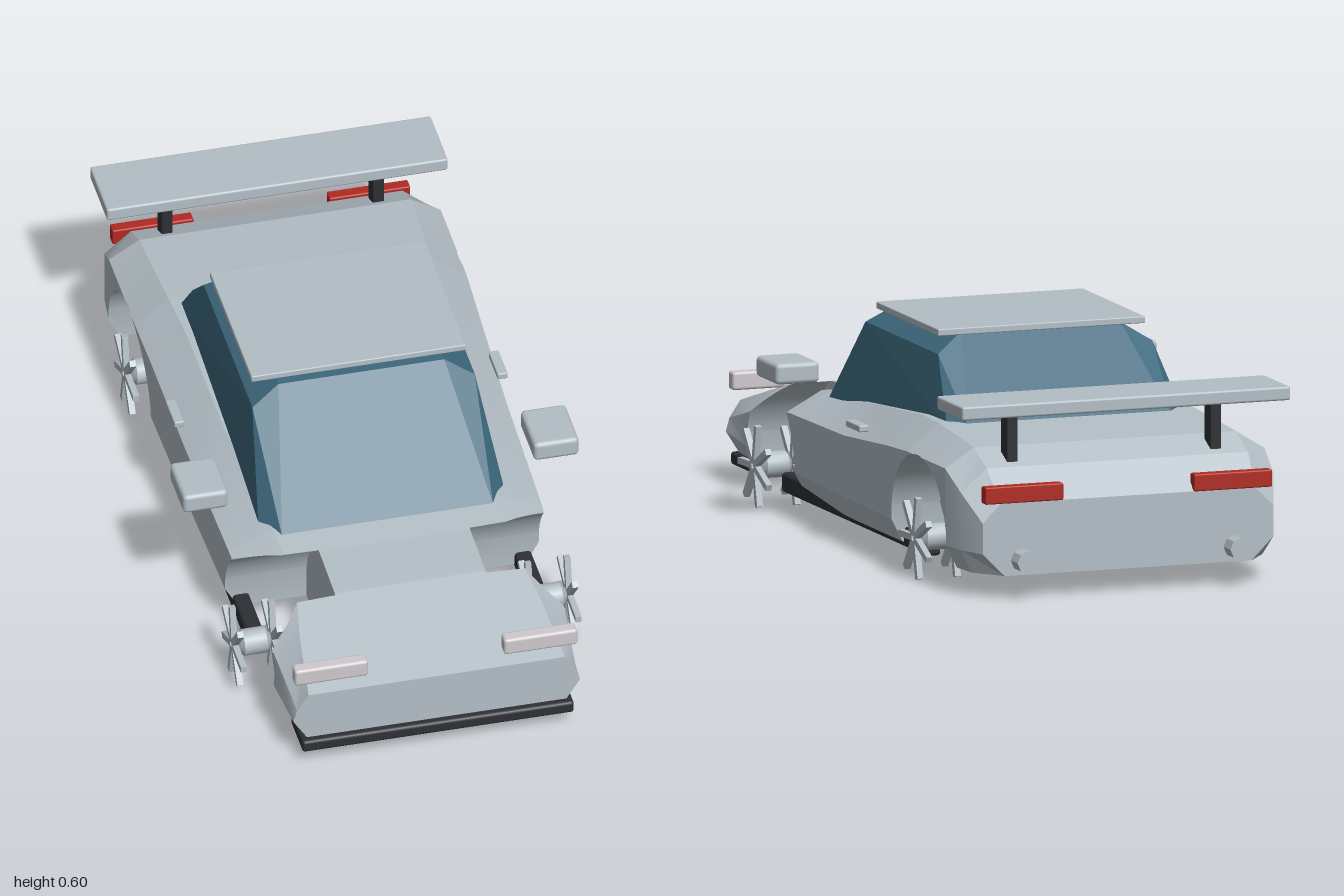
import * as THREE from 'three';
import { toCreasedNormals } from 'three/addons/utils/BufferGeometryUtils.js';
import { RoundedBoxGeometry } from 'three/addons/geometries/RoundedBoxGeometry.js';
import { ConvexGeometry } from 'three/addons/geometries/ConvexGeometry.js';

const paint = (name, color) => Object.assign(new THREE.MeshStandardMaterial({ color }), { name });

const FLOOR = 0.06;
const AXLE_Y = 0.107, AXLES = [0.595, -0.575], ARCH_R = 0.215, ARCH_X = 0.2;

// Body stations: z, floor half width, lower side (x, y), upper side (x, y), top edge (x, y)
const STATIONS = [
  [0.98, 0.335, 0.38, 0.13, 0.37, 0.165, 0.34, 0.21],
  [0.80, 0.35, 0.39, 0.12, 0.385, 0.21, 0.32, 0.265],
  [0.69, 0.37, 0.40, 0.12, 0.40, 0.24, 0.30, 0.298],
  [0.52, 0.38, 0.41, 0.12, 0.41, 0.26, 0.29, 0.307],
  [0.42, 0.38, 0.415, 0.12, 0.415, 0.27, 0.30, 0.32],
  [0.00, 0.40, 0.425, 0.12, 0.425, 0.28, 0.33, 0.355],
  [-0.35, 0.40, 0.43, 0.12, 0.435, 0.31, 0.34, 0.385],
  [-0.50, 0.40, 0.435, 0.12, 0.44, 0.32, 0.35, 0.388],
  [-0.78, 0.41, 0.44, 0.12, 0.44, 0.32, 0.36, 0.37],
  [-0.87, 0.40, 0.43, 0.12, 0.43, 0.27, 0.36, 0.33],
  [-0.95, 0.34, 0.40, 0.12, 0.40, 0.20, 0.35, 0.25],
];

function stationAt(z) {
  let i = 0;
  while (i < STATIONS.length - 2 && z < STATIONS[i + 1][0]) i++;
  const a = STATIONS[i], b = STATIONS[i + 1];
  const t = (a[0] - z) / (a[0] - b[0]);
  return a.map((v, k) => v + (b[k] - v) * t);
}

// Height of the wheel-arch ceiling at z, or the floor away from the wheels
function archAt(z) {
  for (const c of AXLES) {
    const d = Math.abs(z - c);
    if (d < ARCH_R * 0.98) return AXLE_Y + Math.sqrt(ARCH_R ** 2 - d * d);
  }
  return FLOOR;
}

// Closed outline at z, counterclockwise from the front, with the arch cut away
function sectionAt(z) {
  const [, wb, w1, y1, w2, y2, wt, yt] = stationAt(z);
  const side = [[wb, FLOOR], [w1, y1], [w2, y2], [wt, yt]];
  const arch = archAt(z), lo = Math.min(arch, yt);
  const sideX = (y) => {
    for (let k = 0; k < 3; k++) {
      const [p, q] = [side[k], side[k + 1]];
      if (y <= q[1]) return p[0] + (q[0] - p[0]) * (y - p[1]) / (q[1] - p[1]);
    }
    return wt;
  };
  const cut = side.map(([, y]) => {
    const h = Math.max(y, lo);
    return arch >= yt ? [ARCH_X, yt] : [sideX(h), h];
  });
  const half = [[0, FLOOR], [ARCH_X, FLOOR], [ARCH_X, lo], ...cut, [ARCH_X, yt], [0, yt]];
  const other = half.slice(1, -1).reverse().map(([x, y]) => [-x, y]);
  return [...half, ...other].map(([x, y]) => [x, y, z]);
}

function bodyGeometry() {
  const zs = STATIONS.map((s) => s[0]);
  for (const c of AXLES) {
    const edge = ARCH_R * 0.98;
    zs.push(c - edge - 0.0005, c + edge + 0.0005);
    for (let i = 0; i <= 44; i++) zs.push(c + (edge - 0.0005) * Math.cos(Math.PI * i / 44));
    for (let i = 1; i < 48; i++) zs.push(c - 0.11 + 0.22 * i / 48);
  }
  zs.sort((a, b) => b - a);
  const rings = zs.map(sectionAt), pos = [], n = rings[0].length;
  const tri = (...pts) => pts.forEach((p) => pos.push(...p));
  for (let i = 0; i < rings.length - 1; i++) {
    for (let j = 0; j < n; j++) {
      const k = (j + 1) % n, A = rings[i], B = rings[i + 1];
      tri(A[j], B[j], A[k]);
      tri(A[k], B[j], B[k]);
    }
  }
  const front = rings[0], back = rings[rings.length - 1];
  for (let j = 0; j < n; j++) {
    const k = (j + 1) % n;
    tri([0, 0.14, 0.98], front[j], front[k]);
    tri([0, 0.14, -0.95], back[k], back[j]);
  }
  const g = new THREE.BufferGeometry();
  g.setAttribute('position', new THREE.Float32BufferAttribute(pos, 3));
  return toCreasedNormals(g, 0.35);
}

export function createModel() {
  const car = new THREE.Group();
  car.name = 'sportsCar';
  const silver = paint('silverPaint', 0xb3bec5);
  const glass = paint('tealGlass', 0x3c677b);
  const black = paint('blackTrim', 0x2d3035);
  const lamp = paint('headlightWhite', 0xcfc9ce);
  const red = paint('tailRed', 0xb02a22);

  const add = (name, geometry, material, parent = car) => {
    const m = new THREE.Mesh(geometry, material);
    m.name = name;
    parent.add(m);
    return m;
  };
  // Rounded box given by its extents
  const box = (name, mat, [x0, x1], [y0, y1], [z0, z1], r = 0.006) => {
    const g = new RoundedBoxGeometry(x1 - x0, y1 - y0, z1 - z0, 2, r);
    add(name, g, mat).position.set((x0 + x1) / 2, (y0 + y1) / 2, (z0 + z1) / 2);
  };
  const pair = (name, mat, [x0, x1], ys, zs, r) => {
    box(name + 'Left', mat, [x0, x1], ys, zs, r);
    box(name + 'Right', mat, [-x1, -x0], ys, zs, r);
  };

  add('body', bodyGeometry(), silver);

  // Glass cabin and roof
  const cabin = [
    [0.28, 0.315, 0.445], [0.325, 0.315, 0.37], [0.325, 0.37, -0.49], [0.28, 0.375, -0.535],
    [0.22, 0.584, 0.16], [0.295, 0.54, 0.185], [0.295, 0.54, -0.345], [0.22, 0.588, -0.31],
  ].flatMap(([x, y, z]) => [new THREE.Vector3(x, y, z), new THREE.Vector3(-x, y, z)]);
  add('cabinGlass', new ConvexGeometry(cabin), glass);
  box('roofPanel', silver, [-0.285, 0.285], [0.582, 0.6], [-0.32, 0.135], 0.003);

  // Fittings
  pair('mirror', silver, [0.405, 0.525], [0.38, 0.435], [0.225, 0.38], 0.012);
  pair('headlight', lamp, [0.18, 0.375], [0.242, 0.29], [0.94, 0.978], 0.008);
  pair('tailLight', red, [0.18, 0.395], [0.25, 0.295], [-0.957, -0.925], 0.004);
  pair('doorHandle', silver, [0.415, 0.442], [0.314, 0.332], [-0.16, -0.06], 0.004);
  pair('sideSkirt', black, [0.352, 0.396], [0.045, 0.097], [-0.52, 0.535], 0.01);
  box('frontSplitter', black, [-0.36, 0.36], [0.04, 0.074], [0.87, 1.0], 0.008);

  // Rear wing
  box('wing', silver, [-0.452, 0.452], [0.47, 0.506], [-0.94, -0.75], 0.006);
  pair('wingPost', black, [0.265, 0.295], [0.31, 0.475], [-0.85, -0.8], 0.004);

  for (const s of [1, -1]) {
    const pipe = add('exhaust', toCreasedNormals(new THREE.CylinderGeometry(0.03, 0.03, 0.09, 8), 0.3), silver);
    pipe.rotation.x = Math.PI / 2;
    pipe.position.set(s * 0.293, 0.1, -0.955);
  }

  // Wheels: a hub drum between two seven-spoke stars
  const hubShape = [[0, -0.055], [0.012, -0.055], [0.014, -0.045], [0.035, -0.03],
    [0.035, 0.03], [0.014, 0.045], [0.012, 0.055], [0, 0.055]].map(([r, y]) => new THREE.Vector2(r, y));
  const hub = toCreasedNormals(new THREE.LatheGeometry(hubShape, 16), 0.5);
  hub.rotateZ(Math.PI / 2);
  const spoke = new THREE.BoxGeometry(0.016, 0.1, 0.017);
  spoke.translate(0, 0.058, 0);
  for (const z of AXLES) {
    for (const s of [1, -1]) {
      const wheel = new THREE.Group();
      wheel.name = (z > 0 ? 'front' : 'rear') + (s > 0 ? 'Left' : 'Right') + 'Wheel';
      wheel.position.set(s * 0.392, AXLE_Y, z);
      add('hub', hub, silver, wheel);
      for (const x of [-0.052, 0.052]) {
        for (let i = 0; i < 7; i++) {
          const m = add('spoke', spoke, silver, wheel);
          m.position.x = x;
          m.rotation.x = -0.19 + i * Math.PI * 2 / 7;
        }
      }
      car.add(wheel);
    }
  }
  return car;
}
